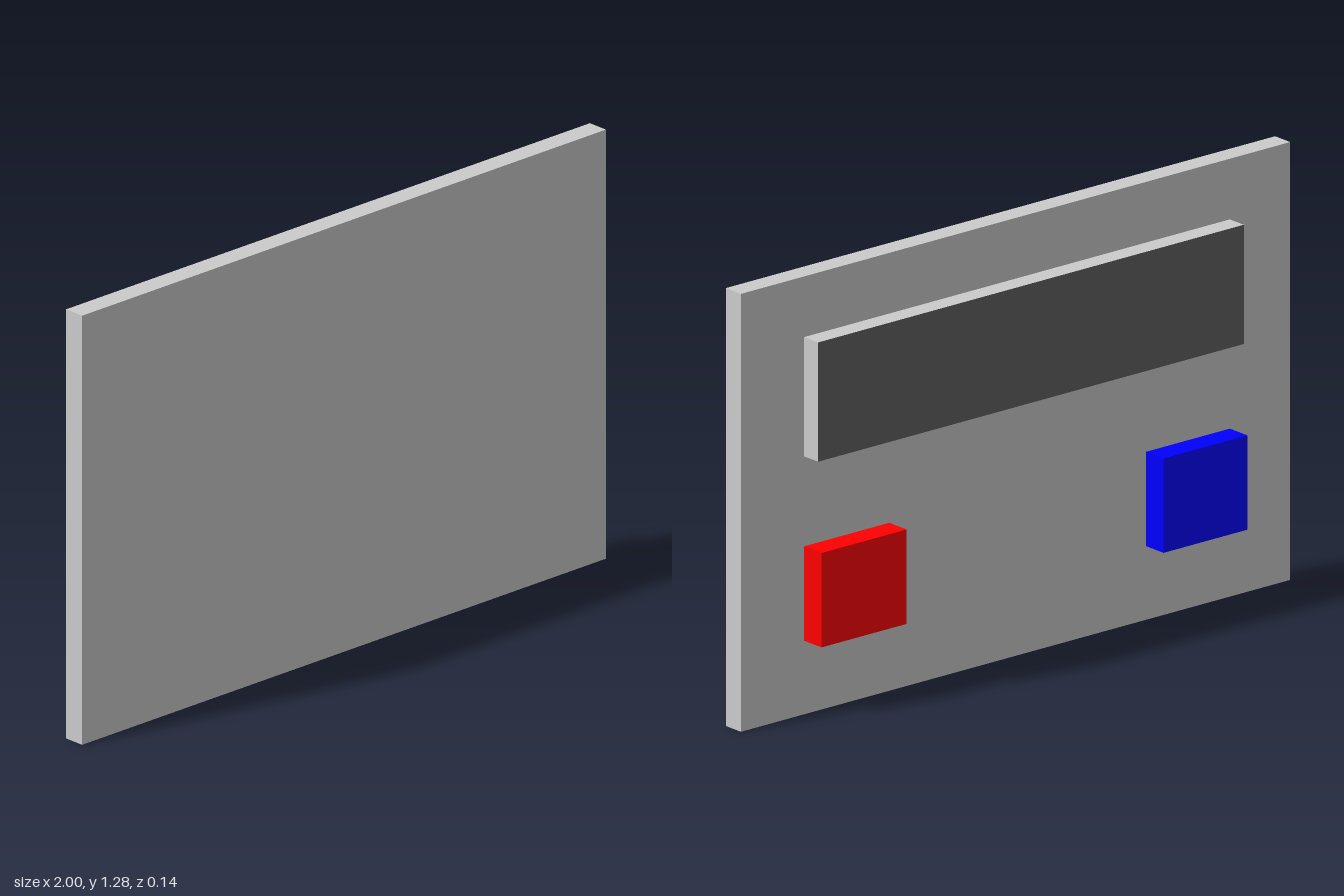
import * as THREE from 'three';

const paint = (color) => new THREE.MeshStandardMaterial({ color });

// Box given by its [min, max] extent on each axis
function slab(name, [x0, x1], [y0, y1], [z0, z1], material) {
  const mesh = new THREE.Mesh(new THREE.BoxGeometry(x1 - x0, y1 - y0, z1 - z0), material);
  mesh.name = name;
  mesh.position.set((x0 + x1) / 2, (y0 + y1) / 2, (z0 + z1) / 2);
  return mesh;
}

export function createModel() {
  const model = new THREE.Group();
  model.name = 'controlPanel';
  const grey = paint(0xcccccc);
  const backZ = 0.005; // rear surface of the board

  // Main board
  model.add(slab('board', [-1, 1], [0, 1.285], [backZ, 0.07], grey));

  // Raised display with a dark screen on its rear face
  const displayFaces = [grey, grey, grey, grey, grey, paint(0x626262)];
  model.add(slab('display', [-0.78, 0.77], [0.757, 1.107], [-0.055, backZ], displayFaces));

  // Two push buttons below the display
  const buttonY = [0.216, 0.493], buttonZ = [-0.07, backZ];
  model.add(slab('redButton', [0.46, 0.77], buttonY, buttonZ, paint(0xff0000)));
  model.add(slab('blueButton', [-0.78, -0.475], buttonY, buttonZ, paint(0x0000ff)));

  return model;
}
